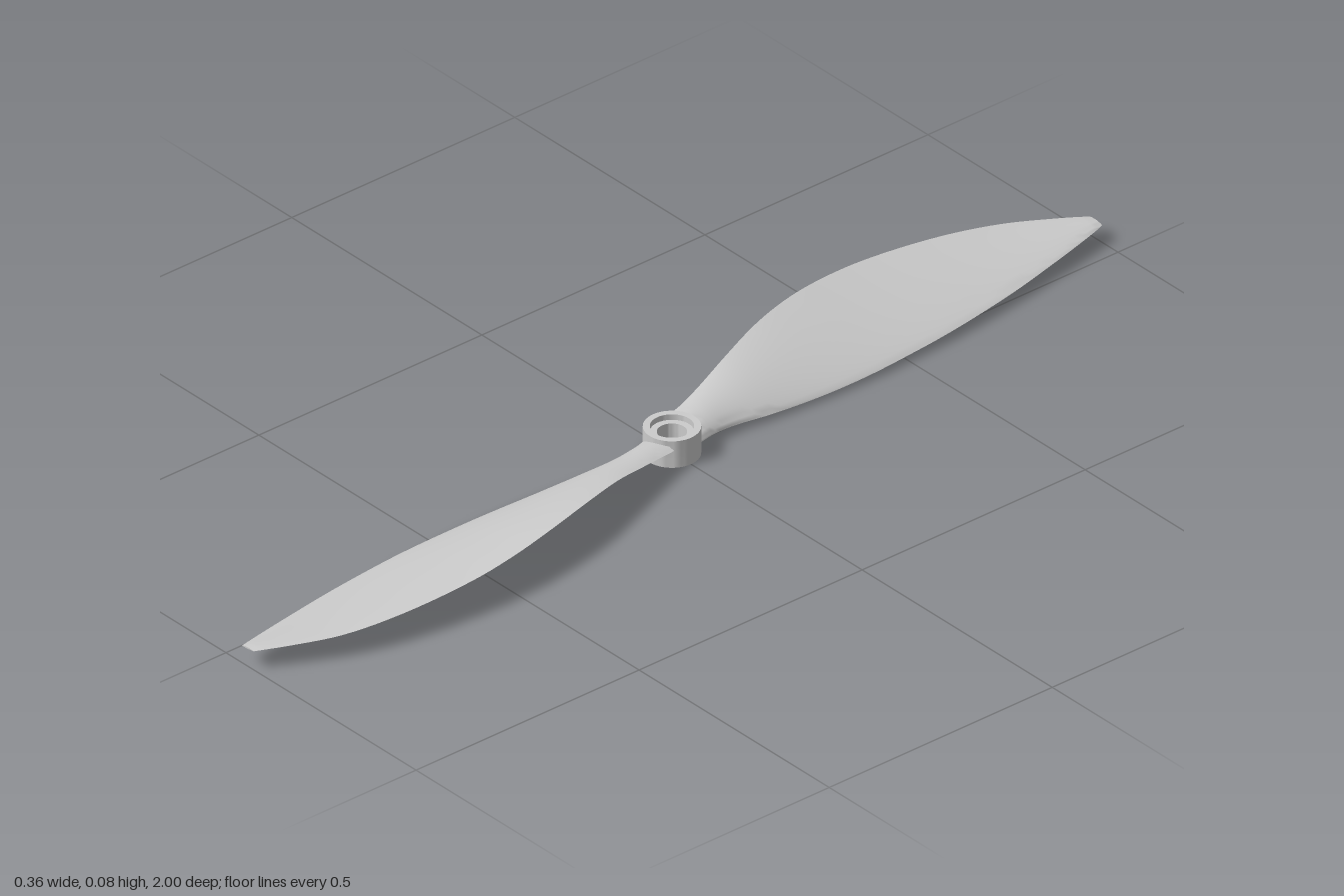
import * as THREE from 'three';
import { toCreasedNormals } from 'three/addons/utils/BufferGeometryUtils.js';

const material = new THREE.MeshStandardMaterial({ color: 0xcccccc, side: THREE.DoubleSide });

// Stations along a blade: [z, low edge x, y, high edge x, y, thickness]
const STATIONS = [
  [0.036, -0.032, 0.02, 0.048, 0.04, 0.016],
  [0.07, -0.024, 0.018, 0.055, 0.044, 0.018],
  [0.12, -0.021, 0.015, 0.069, 0.053, 0.017],
  [0.2, -0.03, 0.011, 0.094, 0.069, 0.014],
  [0.3, -0.038, 0.009, 0.128, 0.08, 0.012],
  [0.4, -0.041, 0.01, 0.155, 0.081, 0.011],
  [0.5, -0.038, 0.013, 0.172, 0.075, 0.01],
  [0.6, -0.031, 0.016, 0.178, 0.067, 0.009],
  [0.75, -0.011, 0.021, 0.167, 0.055, 0.007],
  [0.86, 0.01, 0.026, 0.142, 0.046, 0.006],
  [0.94, 0.027, 0.03, 0.106, 0.041, 0.005],
  [0.99, 0.039, 0.033, 0.079, 0.038, 0.004],
  [1.0, 0.042, 0.034, 0.073, 0.037, 0.003],
];

// Lofts a cambered aerofoil between the low and high edge curves
function bladeGeometry(steps = 60, half = 12) {
  const curve = (f) => new THREE.CatmullRomCurve3(STATIONS.map(f));
  const low = curve((s) => new THREE.Vector3(s[1], s[2], s[0]));
  const high = curve((s) => new THREE.Vector3(s[3], s[4], s[0]));
  const thick = curve((s) => new THREE.Vector3(s[5], 0, s[0]));
  const n = half * 2, pos = [], index = [];
  for (let i = 0; i <= steps; i++) {
    const t = i / steps;
    const a = low.getPoint(t), b = high.getPoint(t), h = thick.getPoint(t).x;
    const chord = b.clone().sub(a);
    const up = new THREE.Vector3(-chord.y, chord.x, 0).normalize();
    for (let j = 0; j < n; j++) {
      const top = j <= half;
      const u = (1 - Math.cos(Math.PI * (top ? j : n - j) / half)) / 2;
      const arch = Math.sqrt(u) * (1 - u) * 2.6; // fullest toward the low edge
      const lens = 4 * u * (1 - u);
      const lift = top ? h * (0.35 * arch + 0.45 * lens) : -h * 0.2 * lens;
      const p = a.clone().addScaledVector(chord, u).addScaledVector(up, lift);
      pos.push(p.x, p.y, p.z);
    }
  }
  for (let i = 0; i < steps; i++) {
    for (let j = 0; j < n; j++) {
      const k = (j + 1) % n, a = i * n, b = a + n;
      index.push(a + j, b + j, a + k, b + j, b + k, a + k);
    }
  }
  // Root and tip caps
  const last = steps * n;
  for (let j = 1; j < n - 1; j++) {
    index.push(0, j, j + 1, last, last + j + 1, last + j);
  }
  const g = new THREE.BufferGeometry();
  g.setAttribute('position', new THREE.Float32BufferAttribute(pos, 3));
  g.setIndex(index);
  return toCreasedNormals(g, 0.7);
}

// Bored hub with a stepped recess in its top face
function hubGeometry() {
  const profile = [
    [0.026, 0], [0.05, 0], [0.05, 0.053], [0.038, 0.053],
    [0.038, 0.042], [0.026, 0.042], [0.026, 0],
  ].map(([r, y]) => new THREE.Vector2(r, y));
  return toCreasedNormals(new THREE.LatheGeometry(profile, 48), 0.6);
}

export function createModel() {
  const group = new THREE.Group();
  group.name = 'propeller';

  const hub = new THREE.Mesh(hubGeometry(), material);
  hub.name = 'hub';
  group.add(hub);

  const blade = bladeGeometry();
  ['frontBlade', 'backBlade'].forEach((name, i) => {
    const mesh = new THREE.Mesh(blade, material);
    mesh.name = name;
    mesh.rotation.y = i * Math.PI;
    group.add(mesh);
  });
  return group;
}
